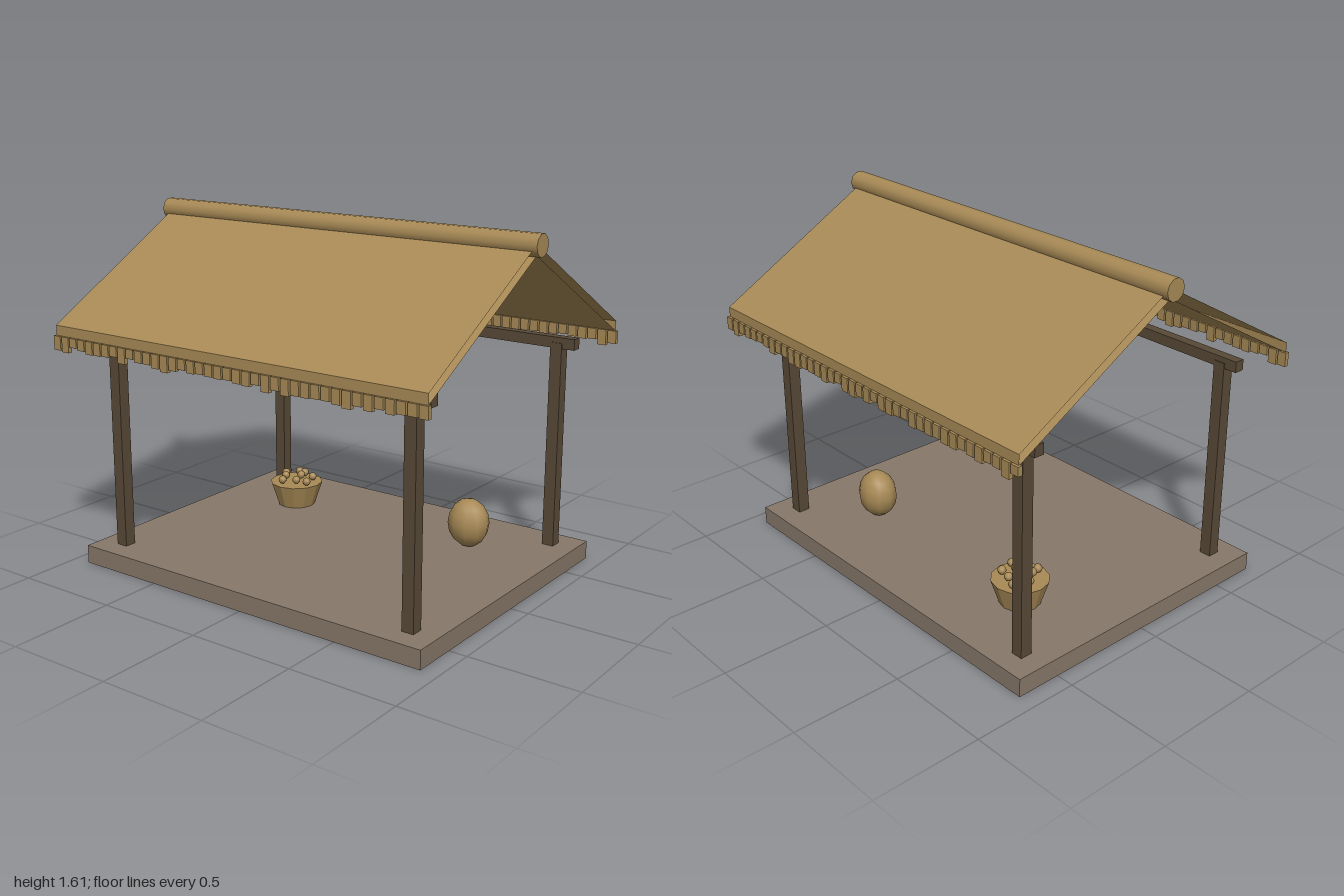
import * as THREE from 'three';

export function createModel() {
  const group = new THREE.Group();
  const make = (name, color, extra = {}) => {
    const m = new THREE.MeshStandardMaterial({ color, ...extra });
    m.name = name;
    return m;
  };
  const straw = make('straw', 0xa88a56);
  const strawSheet = make('strawSheet', 0xa88a56, { side: THREE.DoubleSide, flatShading: true });
  const strawFaceted = make('strawFaceted', 0xa88a56, { flatShading: true });
  const wood = make('darkWood', 0x584937);
  const stone = make('stone', 0x867769);

  const add = (name, geometry, material, x = 0, y = 0, z = 0, parent = group) => {
    const mesh = new THREE.Mesh(geometry, material);
    mesh.name = name;
    mesh.position.set(x, y, z);
    parent.add(mesh);
    return mesh;
  };
  let seed = 7;
  const random = () => (seed = (seed * 16807) % 2147483647) / 2147483647;

  // Floor slab
  add('floor', new THREE.BoxGeometry(1.834, 0.085, 1.42), stone, 0, 0.0425, 0);

  // Corner posts and the beams along front and back
  for (const z of [-0.585, 0.585]) {
    for (const x of [-0.792, 0.792]) {
      add('post', new THREE.BoxGeometry(0.056, 0.96, 0.056), wood, x, 0.565, z);
    }
    add('beam', new THREE.BoxGeometry(1.76, 0.05, 0.048), wood, 0, 1.045, z);
  }

  // Hollow thatch slopes: top, eave strip and underside, open at both ends
  const slope = (side) => {
    const profile = [[1.57, 0], [1.13, 0.775], [1.085, 0.775], [1.525, 0]];
    const points = [];
    for (let i = 0; i < 3; i++) {
      const [ya, za] = profile[i], [yb, zb] = profile[i + 1];
      const a = [-0.975, ya, za * side], b = [-0.975, yb, zb * side];
      const c = [0.975, yb, zb * side], d = [0.975, ya, za * side];
      points.push(...(side > 0 ? [a, b, c, a, c, d] : [a, c, b, a, d, c]).flat());
    }
    const geometry = new THREE.BufferGeometry();
    geometry.setAttribute('position', new THREE.Float32BufferAttribute(points, 3));
    geometry.computeVertexNormals();
    return geometry;
  };
  add('frontThatch', slope(1), strawSheet);
  add('backThatch', slope(-1), strawSheet);

  // Ridge roll
  const ridge = new THREE.CylinderGeometry(0.049, 0.049, 2, 10);
  ridge.rotateZ(Math.PI / 2);
  add('ridgeRoll', ridge, straw, 0, 1.568, 0);

  // Ragged fringe under both eaves
  for (const side of [-1, 1]) {
    const fringe = new THREE.Group();
    fringe.name = side > 0 ? 'frontFringe' : 'backFringe';
    group.add(fringe);
    for (let i = 0; i < 40; i++) {
      const h = 0.04 + 0.033 * random();
      add('fringeTuft', new THREE.BoxGeometry(0.041, h, 0.021), straw,
        (i - 19.5) * 0.0493, 1.085 - h / 2, side * 0.776, fringe);
    }
  }

  // Basket with a filled top and small round produce
  const basket = new THREE.Group();
  basket.name = 'basket';
  basket.position.set(-0.505, 0.085, -0.33);
  group.add(basket);
  add('basketBody', new THREE.CylinderGeometry(0.13, 0.092, 0.115, 12), strawFaceted, 0, 0.0575, 0, basket);
  const fruit = new THREE.SphereGeometry(0.02, 8, 6);
  for (let i = 0; i < 9; i++) {
    const a = i * 2.4, r = 0.03 + 0.065 * Math.sqrt(i / 8);
    add('fruit', fruit, straw, r * Math.cos(a), 0.152 - 0.25 * (r - 0.03), r * Math.sin(a), basket);
  }

  // Rounded jar
  const jar = add('jar', new THREE.SphereGeometry(0.1, 10, 8), straw, 0.5, 0.2, -0.333);
  jar.scale.set(1, 1.15, 0.88);

  return group;
}
